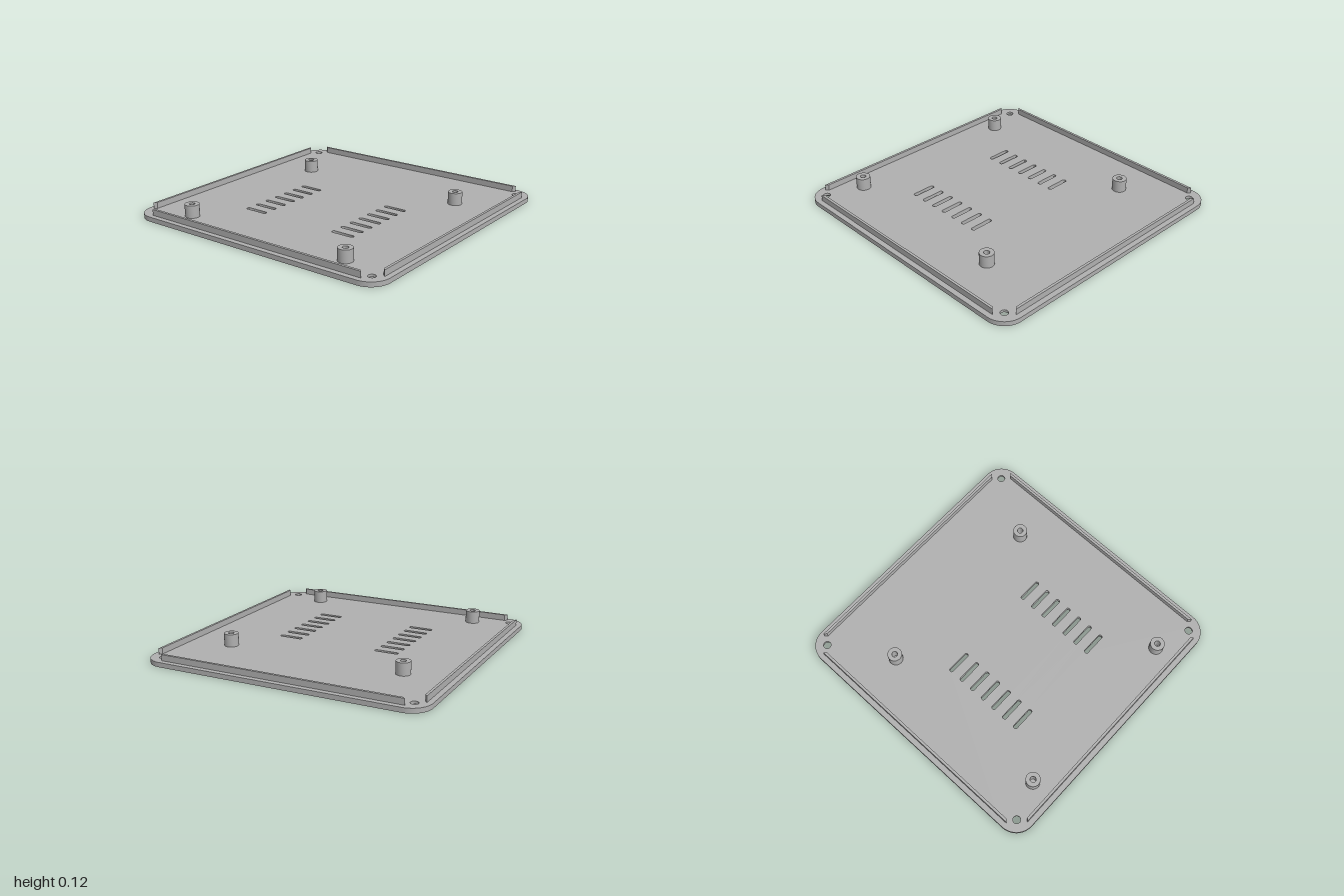
import * as THREE from 'three';
import { toCreasedNormals } from 'three/addons/utils/BufferGeometryUtils.js';

const PLATE = 0.033, RECESS = 0.015;
const screwSpots = [[-0.9, -0.9], [0.9, -0.9], [0.9, 0.9], [-0.9, 0.9]];

// Rounded rectangle centred on (cx, cy)
function roundedRect(path, cx, cy, hw, hh, r) {
  path.absarc(cx + hw - r, cy + hh - r, r, 0, Math.PI / 2);
  path.absarc(cx - hw + r, cy + hh - r, r, Math.PI / 2, Math.PI);
  path.absarc(cx - hw + r, cy - hh + r, r, Math.PI, Math.PI * 1.5);
  path.absarc(cx + hw - r, cy - hh + r, r, Math.PI * 1.5, Math.PI * 2);
  path.closePath();
  return path;
}

function circle(x, y, r) {
  return new THREE.Path().absarc(x, y, r, 0, Math.PI * 2, true);
}

// Extrude a plan shape (x, -z) upward from height y
function slab(shape, y, height) {
  const g = new THREE.ExtrudeGeometry(shape, { depth: height, bevelEnabled: false, curveSegments: 12 });
  g.rotateX(-Math.PI / 2);
  g.translate(0, y, 0);
  return toCreasedNormals(g, 0.6);
}

// Plate outline with ventilation slots and screw holes
function plateShape(screwRadius) {
  const shape = roundedRect(new THREE.Shape(), 0, 0, 1, 1, 0.14);
  for (const [x, z] of screwSpots) shape.holes.push(circle(x, -z, screwRadius));
  for (const side of [-1, 1]) {
    for (let i = 0; i < 7; i++) {
      const z = -0.13 + i * 0.1;
      shape.holes.push(roundedRect(new THREE.Path(), side * 0.369, -z, 0.086, 0.0145, 0.0135));
    }
  }
  return shape;
}

export function createModel() {
  const model = new THREE.Group();
  model.name = 'enclosureCover';
  const grey = new THREE.MeshStandardMaterial({ color: 0xb0b0b0 });
  grey.name = 'grey plastic';

  const add = (geometry, name) => {
    const mesh = new THREE.Mesh(geometry, grey);
    mesh.name = name;
    model.add(mesh);
    return mesh;
  };

  // Base plate: wide screw-head recesses below, narrow holes above
  add(slab(plateShape(0.045), 0, RECESS), 'plateBottom');
  add(slab(plateShape(0.026), RECESS, PLATE - RECESS), 'plateTop');

  // Four locating lips with mitred ends
  const lip = new THREE.Shape([
    new THREE.Vector2(-0.866, -0.963), new THREE.Vector2(0.866, -0.963),
    new THREE.Vector2(0.848, -0.945), new THREE.Vector2(-0.848, -0.945),
  ]);
  const lipGeometry = slab(lip, PLATE, 0.042);
  ['frontLip', 'leftLip', 'backLip', 'rightLip'].forEach((name, i) => {
    add(lipGeometry, name).rotation.y = i * Math.PI / 2;
  });

  // Hollow standoffs
  const ring = new THREE.Shape().absarc(0, 0, 0.05, 0, Math.PI * 2);
  ring.holes.push(circle(0, 0, 0.02));
  const standoffGeometry = slab(ring, PLATE, 0.087);
  for (const x of [-0.643, 0.643]) {
    for (const z of [-0.475, 0.81]) {
      add(standoffGeometry, 'standoff').position.set(x, 0, z);
    }
  }
  return model;
}
